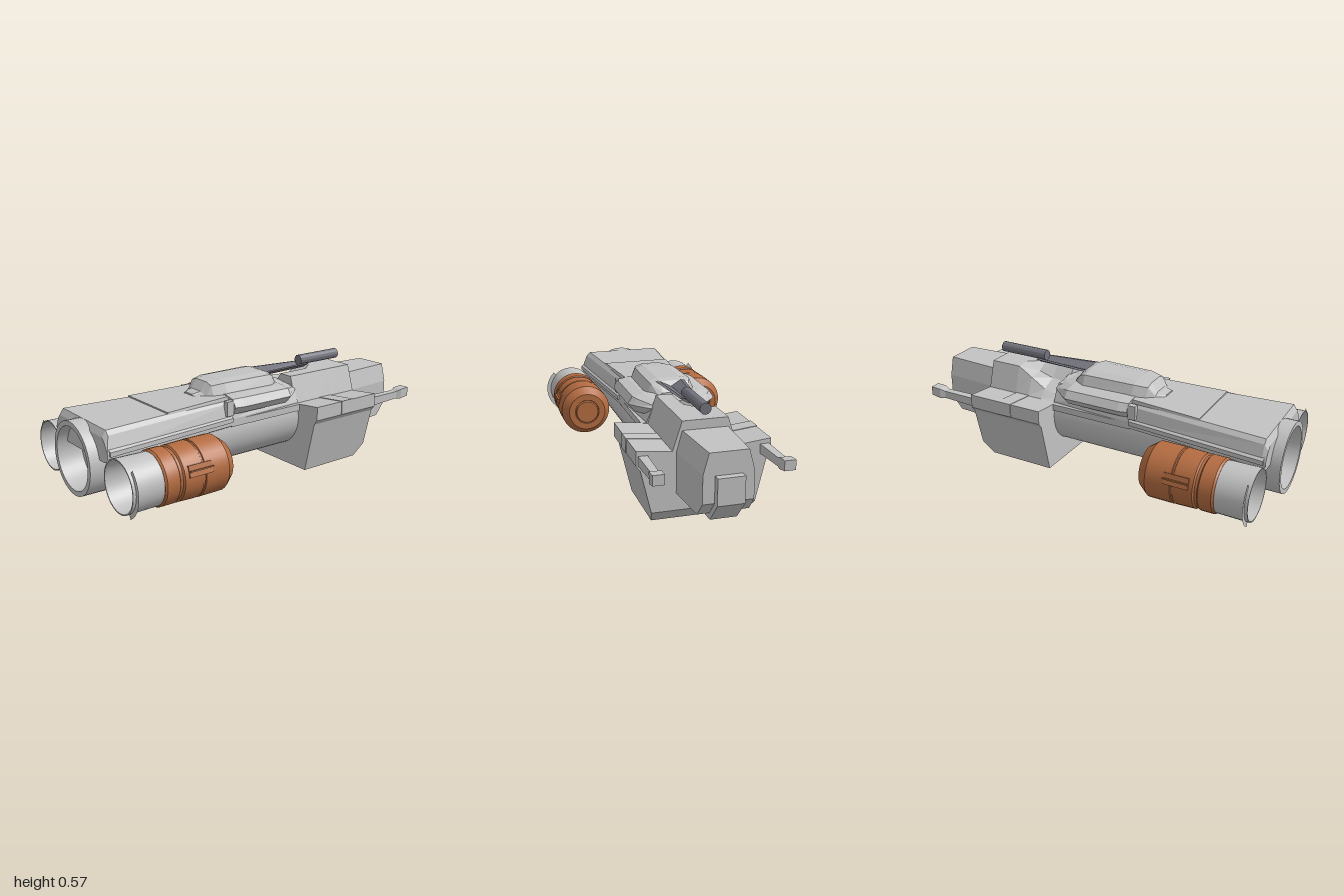
import * as THREE from 'three';
import { toCreasedNormals } from 'three/addons/utils/BufferGeometryUtils.js';

export function createModel() {
  const ship = new THREE.Group();
  ship.name = 'spaceship';
  const material = (name, color) => {
    const m = new THREE.MeshStandardMaterial({ color, side: THREE.DoubleSide });
    m.name = name;
    return m;
  };
  const grey = material('hull grey', 0xc2c2c2);
  const orange = material('engine orange', 0xb46c41);
  const gunmetal = material('gunmetal', 0x73737d);

  const add = (name, geometry, mat, parent = ship) => {
    const mesh = new THREE.Mesh(geometry, mat);
    mesh.name = name;
    parent.add(mesh);
    return mesh;
  };

  // Mirror a half outline of [z, y] points, listed from bottom to top
  const mirror = half => [...half, ...half.map(([z, y]) => [-z, y]).reverse()];

  // Flat-faced skin over cross-sections [x, [[z, y], ...]], ordered by rising x
  function loft(sections) {
    const pos = [];
    const put = (s, i) => {
      const [z, y] = s[1][i % s[1].length];
      pos.push(s[0], y, z);
    };
    for (let k = 0; k < sections.length - 1; k++) {
      const a = sections[k], b = sections[k + 1];
      for (let i = 0; i < a[1].length; i++) {
        put(a, i); put(b, i); put(b, i + 1);
        put(a, i); put(b, i + 1); put(a, i + 1);
      }
    }
    const cap = (s, flip) => {
      const pts = s[1].map(p => new THREE.Vector2(p[0], p[1]));
      for (const [a, b, c] of THREE.ShapeUtils.triangulateShape(pts, [])) {
        for (const i of flip ? [a, c, b] : [a, b, c]) put(s, i);
      }
    };
    cap(sections[0], false);
    cap(sections[sections.length - 1], true);
    const g = new THREE.BufferGeometry();
    g.setAttribute('position', new THREE.Float32BufferAttribute(pos, 3));
    g.computeVertexNormals();
    return g;
  }
  const symmetric = rows => loft(rows.map(([x, half]) => [x, mirror(half)]));

  // Turned part along x from [radius, x] points
  const turned = (points, sides = 32) => {
    const g = new THREE.LatheGeometry(points.map(p => new THREE.Vector2(p[0], p[1])), sides);
    g.rotateZ(-Math.PI / 2);
    return toCreasedNormals(g.toNonIndexed(), 0.5);
  };

  // Round main hull with a recessed rear opening
  add('mainHull', turned([[0, -0.88], [0.14, -0.88], [0.155, -1], [0.18, -1], [0.18, 0.24], [0, 0.24]], 40), grey)
    .position.y = 0.28;

  // Tapering deck over the hull
  const deck = (x, w, t, top) => [x, [[w - 0.03, 0.315], [w, 0.33], [w, 0.365], [t, top - 0.02], [t - 0.02, top]]];
  add('upperDeck', symmetric([
    deck(-0.95, 0.255, 0.23, 0.43), deck(-0.93, 0.255, 0.23, 0.46),
    deck(-0.2, 0.19, 0.17, 0.462), deck(0.24, 0.16, 0.13, 0.45),
  ]), grey);
  add('deckPanel', symmetric([
    [-0.59, [[0.187, 0.45], [0.183, 0.468]]],
    [-0.2, [[0.158, 0.45], [0.155, 0.475]]],
  ]), grey);

  // Wide collar under the turret, with a flared overhanging rim
  const collar = (x, w, top) => [x, [
    [w - 0.08, 0.41], [w - 0.04, 0.387], [w, 0.43], [w - 0.025, top - 0.01], [w - 0.08, top],
  ]];
  add('collar', symmetric([
    collar(-0.22, 0.22, 0.478), collar(-0.17, 0.23, 0.48), collar(0.13, 0.23, 0.478),
    collar(0.16, 0.21, 0.47), collar(0.24, 0.14, 0.45),
  ]), grey);

  // Turret hood
  const hood = (x, b, m, t, y) => [x, [[b, 0.46], [m, y - 0.012], [t, y]]];
  add('turretHood', symmetric([
    hood(-0.35, 0.05, 0.045, 0.03, 0.48), hood(-0.305, 0.085, 0.07, 0.04, 0.49),
    hood(-0.27, 0.11, 0.085, 0.045, 0.533), hood(-0.2, 0.135, 0.105, 0.06, 0.541),
    hood(0.08, 0.14, 0.112, 0.06, 0.541), hood(0.11, 0.125, 0.1, 0.055, 0.53),
    hood(0.155, 0.09, 0.075, 0.05, 0.48),
  ]), grey);

  // V-shaped gun cradle and barrel
  add('gunCradle', loft([
    [0.09, [[0.06, 0.532], [0, 0.505], [-0.06, 0.532], [-0.078, 0.53], [0, 0.492], [0.078, 0.53]]],
    [0.42, [[0.03, 0.528], [0, 0.51], [-0.03, 0.528], [-0.045, 0.525], [0, 0.497], [0.045, 0.525]]],
  ]), gunmetal);
  add('gunBarrel', turned([[0, -0.14], [0.028, -0.14], [0.028, 0.14], [0, 0.14]], 12), gunmetal)
    .position.set(0.52, 0.542, 0);

  // Forward pod, with a scoop on the -z half of the top that fades toward the front
  const pod = (x, bottomZ, bottomY, inner, outer) => [x, [
    [bottomZ, bottomY], [0.305, 0.275], [0.325, 0.3], [0.325, 0.373], [0.155, 0.355], [0.11, 0.495],
    [0.03, 0.495], [-0.03, inner], [-0.11, outer],
    [-0.155, 0.355], [-0.325, 0.373], [-0.325, 0.3], [-0.305, 0.275], [-bottomZ, bottomY],
  ]];
  add('forwardPod', loft([
    pod(0.23, 0.24, 0, 0.42, 0.37), pod(0.33, 0.24, 0, 0.43, 0.395), pod(0.41, 0.24, 0, 0.455, 0.445),
    pod(0.49, 0.24, 0, 0.495, 0.495), pod(0.6, 0.24, 0, 0.495, 0.495), pod(0.66, 0.255, 0.065, 0.495, 0.495),
  ]), grey);

  // Nose block and its stepped tip
  const nose = (x, w, bottom) => [x, [[w, bottom], [w, 0.35], [w - 0.027, 0.45]]];
  add('nose', symmetric([nose(0.65, 0.137, 0.15), nose(0.905, 0.121, 0.15), nose(0.965, 0.117, 0.22)]), grey);
  const tip = (x, bottom) => [x, [[0.063, bottom], [0.063, 0.345]]];
  add('noseTip', symmetric([tip(0.67, 0.12), tip(0.91, 0.12), tip(1, 0.22)]), grey);

  // Engine body and nozzle outlines
  const engineProfile = [
    [0.115, -0.79], [0.127, -0.79], [0.134, -0.78], [0.134, -0.715], [0.126, -0.708], [0.126, -0.695],
    [0.134, -0.688], [0.137, -0.6], [0.137, -0.59], [0.133, -0.587], [0.133, -0.58], [0.138, -0.577],
    [0.138, -0.45], [0.103, -0.403], [0.069, -0.403], [0.066, -0.408], [0.061, -0.396], [0, -0.396],
  ];
  const nozzleProfile = [[0, -0.8], [0.116, -0.8], [0.122, -0.95], [0.128, -0.95], [0.126, -0.785]];

  for (const s of [1, -1]) {
    const side = s > 0 ? 'right' : 'left';

    // Side engine
    const engine = new THREE.Group();
    engine.name = side + 'Engine';
    engine.position.set(0, 0.237, 0.337 * s);
    ship.add(engine);
    add('engineBody', turned(engineProfile), orange, engine);
    add('engineNozzle', turned(nozzleProfile), grey, engine);

    // Low pads with a thin radial fin, outboard and underneath
    for (const deg of [18, -95]) {
      const a = THREE.MathUtils.degToRad(deg);
      for (const [name, height, depth, r] of [['enginePad', 0.055, 0.012, 0.134], ['engineFin', 0.006, 0.03, 0.139]]) {
        const part = add(name, new THREE.BoxGeometry(0.125, height, depth), orange, engine);
        part.position.set(-0.605, Math.sin(a) * r, Math.cos(a) * r * s);
        part.rotation.x = s > 0 ? -a : a;
      }
    }

    // Flat crescent guard at the outer rear of the nozzle
    const guard = new THREE.RingGeometry(0.122, 0.15, 10, 1, -1.08, 1.87);
    guard.rotateY(-s * Math.PI / 2);
    add('nozzleGuard', guard, grey, engine).position.x = -0.935;

    // Wing band and forward prong beside the pod
    const place = pts => s > 0 ? pts : pts.map(([z, y]) => [-z, y]).reverse();
    const band = place([[0.15, 0.34], [0.3, 0.3], [0.329, 0.302], [0.329, 0.376], [0.155, 0.358]]);
    add(side + 'WingBand', loft([[0.405, band], [0.485, band]]), grey);
    const prong = (x, z0, z1, y0, y1) => [x, place([[z0, y0], [z1, y0], [z1, y1], [z0, y1]])];
    add(side + 'Prong', loft([
      prong(0.63, 0.27, 0.315, 0.3, 0.348), prong(0.85, 0.275, 0.312, 0.308, 0.348),
      prong(0.875, 0.27, 0.325, 0.306, 0.36), prong(0.93, 0.27, 0.325, 0.315, 0.363),
    ]), grey);

    // Rail along the deck edge and tab ahead of it
    const rail = (x, z) => [x, place([[z - 0.02, 0.35], [z, 0.35], [z, 0.372], [z - 0.02, 0.385]])];
    add(side + 'DeckRail', loft([rail(-0.94, 0.265), rail(-0.22, 0.2)]), grey);
    add(side + 'CollarTab', new THREE.BoxGeometry(0.04, 0.075, 0.03), grey).position.set(-0.24, 0.425, 0.19 * s);

    // Low strake on the hull between collar and pod
    add(side + 'Strake', new THREE.BoxGeometry(0.46, 0.035, 0.03), grey).position.set(0.01, 0.34, 0.172 * s);
  }

  return ship;
}
